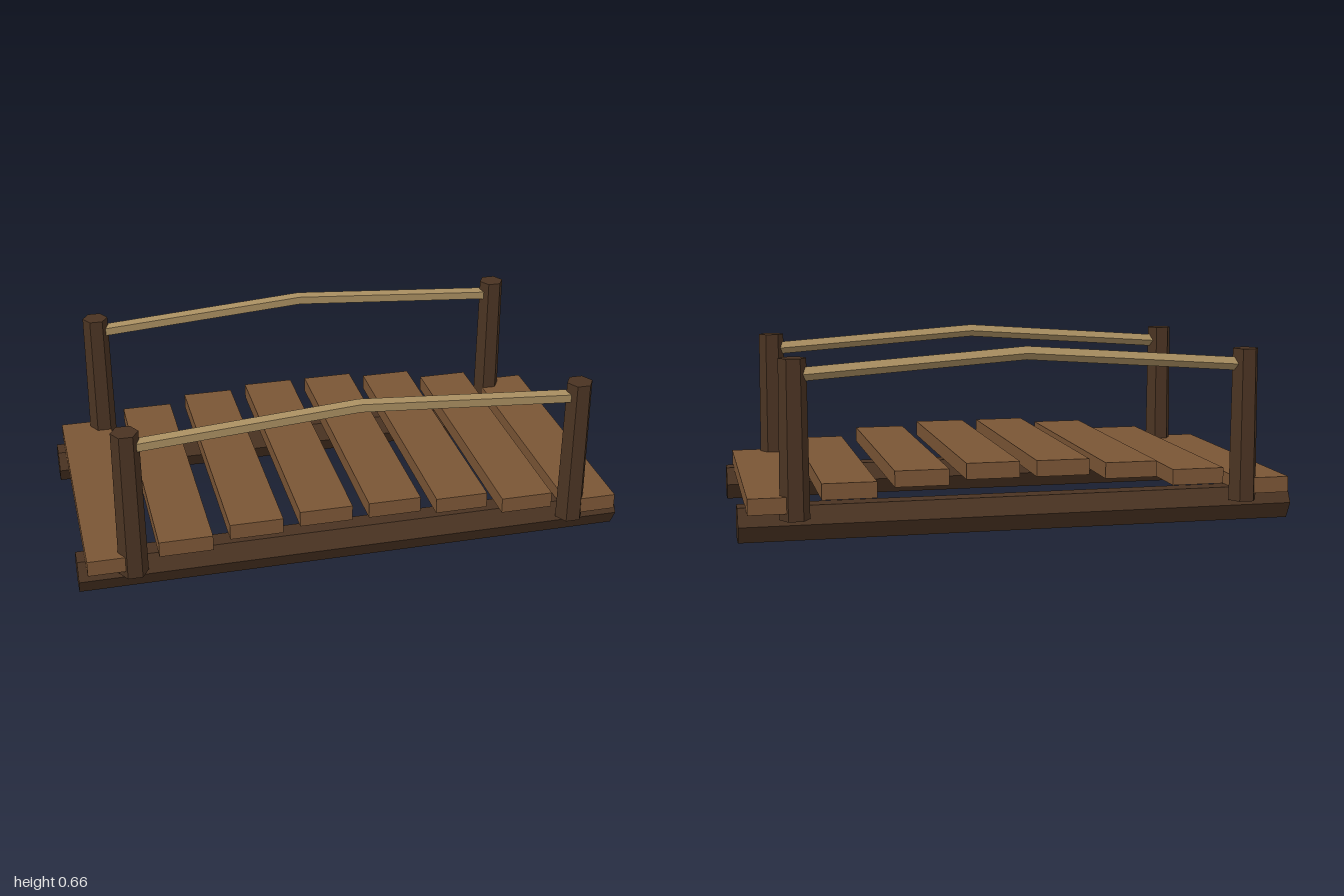
import * as THREE from 'three';

const mat = (name, color) => {
  const m = new THREE.MeshStandardMaterial({ color, flatShading: true });
  m.name = name;
  return m;
};

export function createModel() {
  const bridge = new THREE.Group();
  bridge.name = 'footbridge';
  const darkWood = mat('darkWood', 0x4a3322);
  const plankWood = mat('plankWood', 0x7a5535);
  const ropeTan = mat('ropeTan', 0xa68c5f);

  const add = (name, geometry, material, x, y, z) => {
    const mesh = new THREE.Mesh(geometry, material);
    mesh.name = name;
    mesh.position.set(x, y, z);
    bridge.add(mesh);
  };

  // Hexagonal support logs, flat side down
  const logGeo = new THREE.CylinderGeometry(0.0705, 0.0705, 2, 6).rotateZ(Math.PI / 2);
  // Slightly tapered hexagonal posts, corners along x
  const postGeo = new THREE.CylinderGeometry(0.0475, 0.052, 0.552, 6).rotateY(Math.PI / 2);
  // Five-sided handrail, bent into a shallow peak at mid-span
  const railGeo = new THREE.CylinderGeometry(0.025, 0.025, 1.6, 5, 2)
    .rotateY(Math.PI).rotateZ(Math.PI / 2);
  const p = railGeo.attributes.position;
  for (let i = 0; i < p.count; i++) p.setY(i, p.getY(i) - Math.abs(p.getX(i)) * 0.071);
  railGeo.computeVertexNormals();

  for (const [side, s] of [['front', 1], ['back', -1]]) {
    add(side + 'Log', logGeo, darkWood, 0, 0.061, s * 0.402);
    add(side + 'Rail', railGeo, ropeTan, 0, 0.635, s * 0.478);
    add(side + 'LeftPost', postGeo, darkWood, 0.808, 0.359, s * 0.478);
    add(side + 'RightPost', postGeo, darkWood, -0.808, 0.359, s * 0.478);
  }

  // Deck planks stepping up to a gentle arch
  const plankGeo = new THREE.BoxGeometry(0.19, 0.057, 1.03);
  [0.232, 0.215, 0.181, 0.139].forEach((y, i) => {
    const x = 0.125 + i * 0.25;
    add('leftPlank' + (i + 1), plankGeo, plankWood, x, y, 0);
    add('rightPlank' + (i + 1), plankGeo, plankWood, -x, y, 0);
  });

  return bridge;
}
